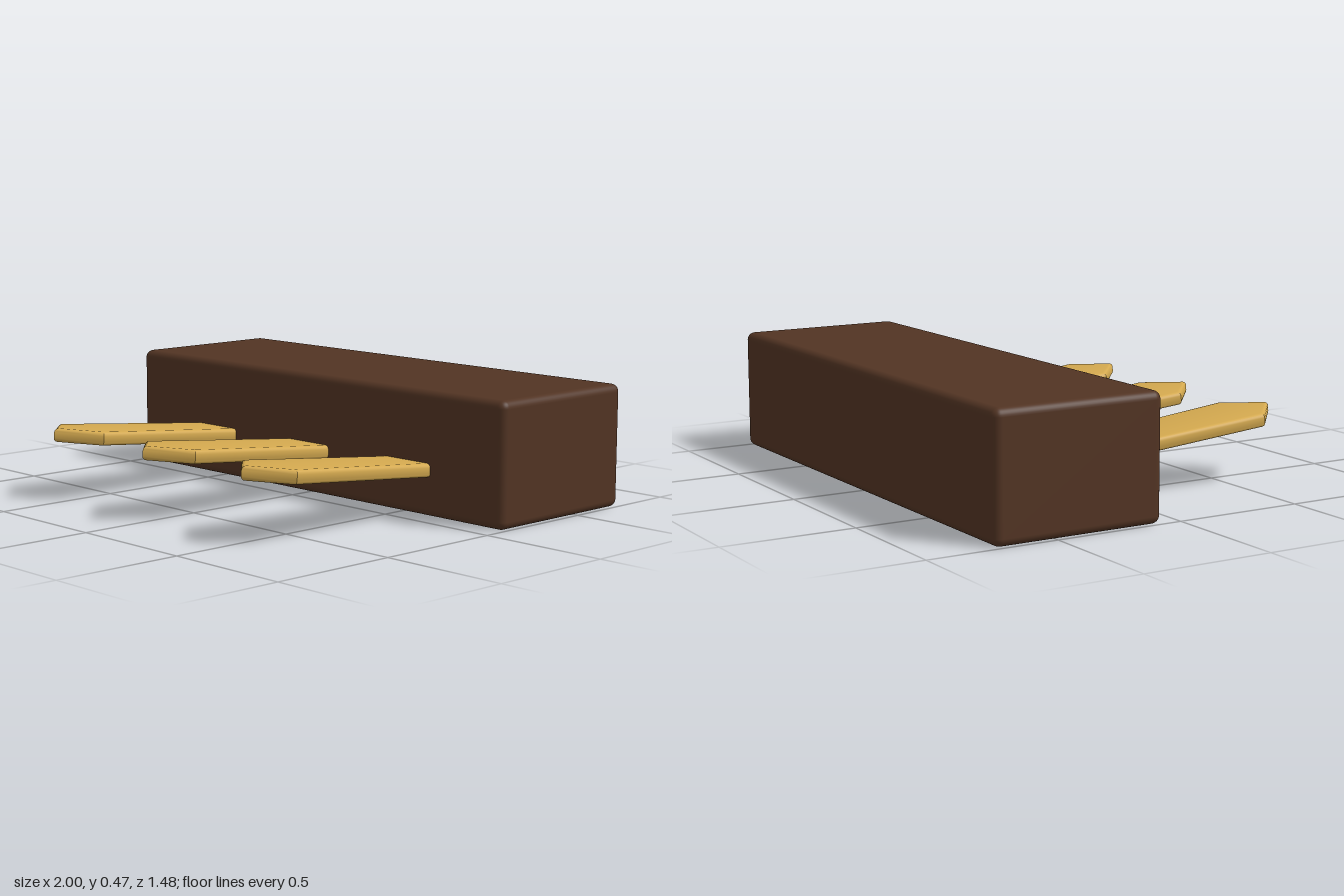
import * as THREE from 'three';
import { toCreasedNormals } from 'three/addons/utils/BufferGeometryUtils.js';
import { RoundedBoxGeometry } from 'three/addons/geometries/RoundedBoxGeometry.js';

export function createModel() {
  const group = new THREE.Group();
  const darkWood = new THREE.MeshStandardMaterial({ color: 0x523423 });
  darkWood.name = 'darkWood';
  const paleWood = new THREE.MeshStandardMaterial({ color: 0xd4a94f });
  paleWood.name = 'paleWood';

  // Long block with softly rounded edges
  const block = new THREE.Mesh(new RoundedBoxGeometry(2, 0.466, 0.664, 4, 0.03), darkWood);
  block.name = 'block';
  block.position.set(0, 0.233, -0.41);
  group.add(block);

  // Flat pointed peg outline, widening towards the tip; y runs outwards
  const outline = new THREE.Shape([
    [-0.117, -0.04], [0.117, -0.04], [0.144, 0.695], [0, 0.823], [-0.144, 0.695],
  ].map(([x, y]) => new THREE.Vector2(x, y)));
  const depth = 0.02, bevel = 0.016;
  const extruded = new THREE.ExtrudeGeometry(outline, {
    depth, bevelEnabled: true, bevelThickness: bevel, bevelSize: bevel,
    bevelOffset: -bevel, bevelSegments: 4,
  });
  extruded.translate(0, 0, -depth / 2);
  extruded.rotateX(Math.PI / 2 - 0.0975); // lie flat, tip tilted up
  const pegGeometry = toCreasedNormals(extruded, 0.6);

  // Three evenly spaced pegs
  ['rightPeg', 'middlePeg', 'leftPeg'].forEach((name, i) => {
    const peg = new THREE.Mesh(pegGeometry, paleWood);
    peg.name = name;
    peg.position.set((i - 1) * 0.533, 0.173, -0.08);
    group.add(peg);
  });

  return group;
}
